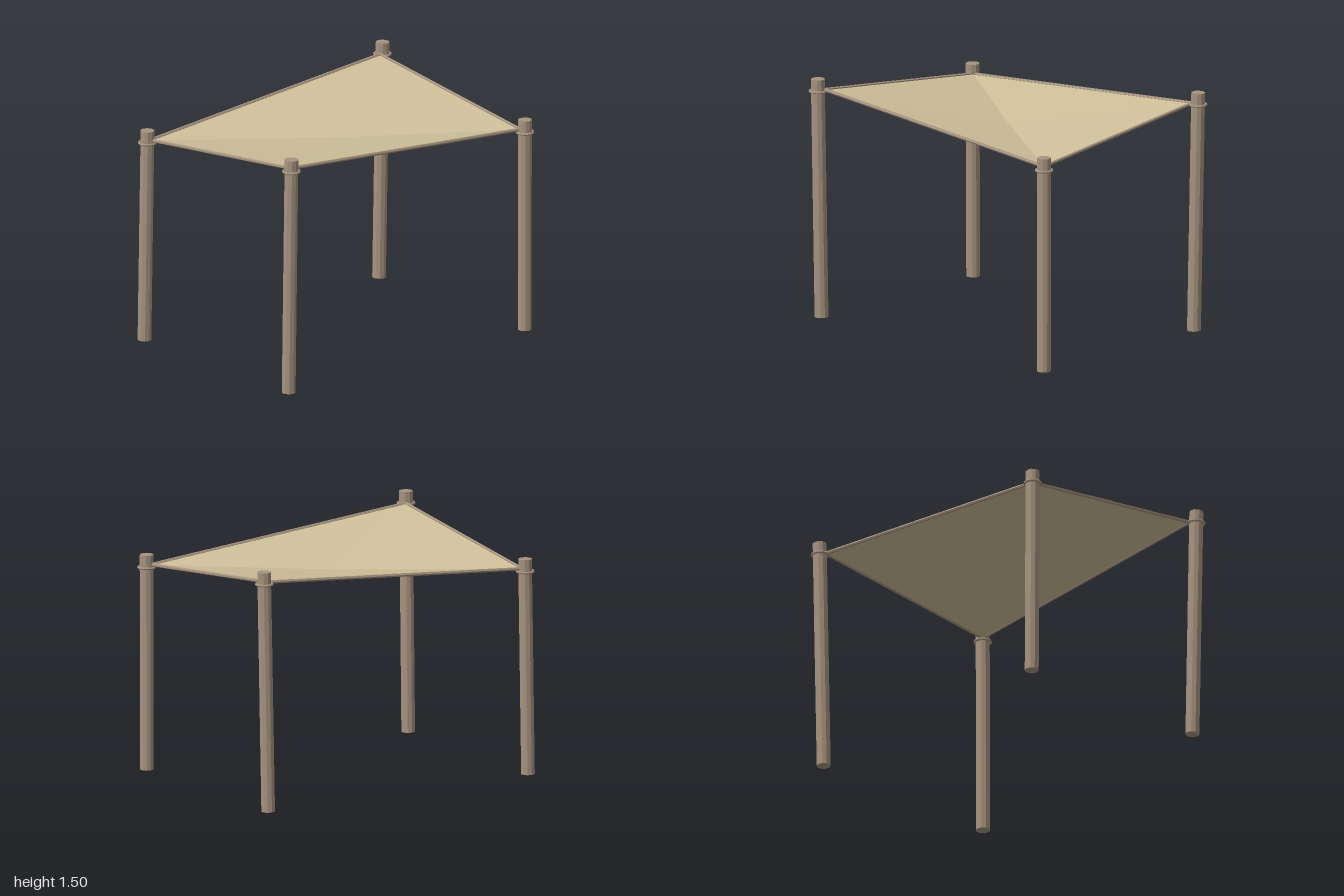
import * as THREE from 'three';

const wood = new THREE.MeshStandardMaterial({ color: 0xa69380, flatShading: true });
wood.name = 'weathered wood';
const cloth = new THREE.MeshStandardMaterial({ color: 0xcfc09a, flatShading: true, side: THREE.DoubleSide });
cloth.name = 'sand cloth';

// Straight rod between two points
function rod(name, a, b, radius, sides) {
  const dir = b.clone().sub(a);
  const mesh = new THREE.Mesh(new THREE.CylinderGeometry(radius, radius, dir.length(), sides), wood);
  mesh.name = name;
  mesh.position.copy(a).add(b).multiplyScalar(0.5);
  mesh.quaternion.setFromUnitVectors(new THREE.Vector3(0, 1, 0), dir.normalize());
  return mesh;
}

export function createModel() {
  const group = new THREE.Group();
  group.name = 'shadeSail';
  const V = (x, y, z) => new THREE.Vector3(x, y, z);

  // Posts in order round the sail: foot, top, ring height, sail corner
  const posts = [
    { name: 'frontRight', foot: V(-0.942, 0, 0.658), top: V(-0.945, 1.5, 0.688), ring: 1.424, corner: V(-0.921, 1.43, 0.653) },
    { name: 'frontLeft', foot: V(0.94, 0, 0.672), top: V(0.942, 1.343, 0.672), ring: 1.264, corner: V(0.921, 1.28, 0.653) },
    { name: 'backLeft', foot: V(0.924, 0, -0.67), top: V(0.956, 1.5, -0.674), ring: 1.424, corner: V(0.921, 1.43, -0.657) },
    { name: 'backRight', foot: V(-0.946, 0, -0.685), top: V(-0.936, 1.343, -0.668), ring: 1.264, corner: V(-0.921, 1.28, -0.657) },
  ];

  posts.forEach((p, i) => {
    group.add(rod(p.name + 'Post', p.foot, p.top, 0.043, 10));

    // Fixing ring round the post
    const ring = new THREE.Mesh(new THREE.TorusGeometry(0.05, 0.008, 6, 16), wood);
    ring.name = p.name + 'Ring';
    ring.rotation.x = Math.PI / 2;
    ring.position.lerpVectors(p.foot, p.top, p.ring / p.top.y);
    group.add(ring);

    // Edge rope to the next corner
    group.add(rod('edgeRope', p.corner, posts[(i + 1) % 4].corner, 0.011, 6));
  });

  // Sail: four panels sagging to the middle
  const centre = V(0, 1.262, 0);
  const points = [];
  posts.forEach((p, i) => points.push(p.corner, posts[(i + 1) % 4].corner, centre));
  const geometry = new THREE.BufferGeometry().setFromPoints(points);
  geometry.computeVertexNormals();
  const sail = new THREE.Mesh(geometry, cloth);
  sail.name = 'sail';
  group.add(sail);

  return group;
}
